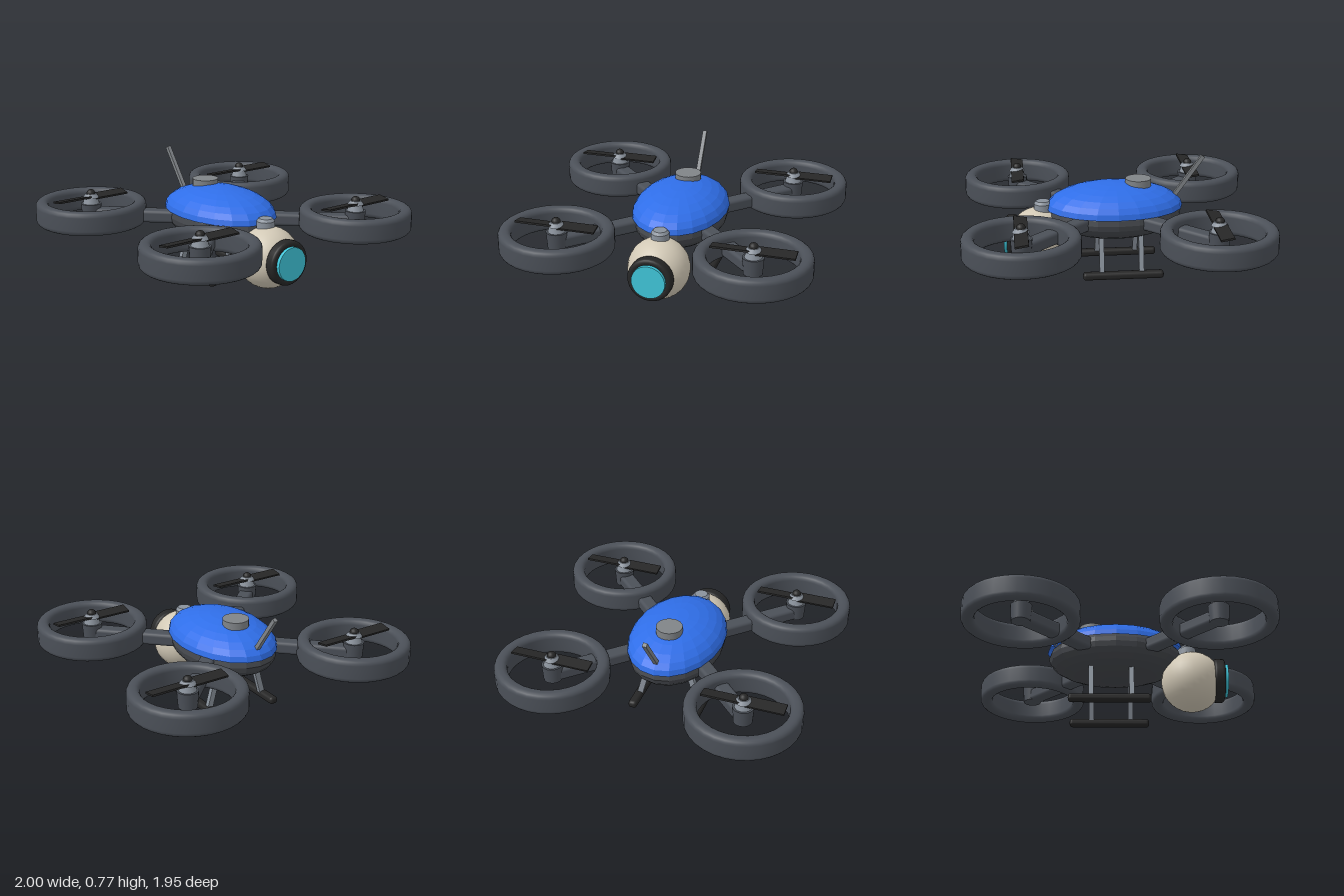
import * as THREE from 'three';
import { RoundedBoxGeometry } from 'three/addons/geometries/RoundedBoxGeometry.js';

const mat = (color, extra = {}) => new THREE.MeshStandardMaterial({ color, ...extra });
const frame = mat(0x4b5058);
const hull = mat(0x44474c, { flatShading: true });
const blue = mat(0x2f6ee8, { flatShading: true, side: THREE.DoubleSide });
const black = mat(0x262626);
const metal = mat(0x8a929c);
const grey = mat(0x808488);
const cream = mat(0xd2c9b6);
const cyan = mat(0x40c8dc);

function add(parent, name, geometry, material, x = 0, y = 0, z = 0) {
  const mesh = new THREE.Mesh(geometry, material);
  mesh.name = name;
  mesh.position.set(x, y, z);
  parent.add(mesh);
  return mesh;
}

// Places a mesh whose long axis is z so that it runs from a to b
function span(parent, name, geometry, material, a, b) {
  const mesh = add(parent, name, geometry, material);
  mesh.position.copy(a).lerp(b, 0.5);
  mesh.lookAt(b);
  return mesh;
}

const V = (x, y, z) => new THREE.Vector3(x, y, z);
const cyl = (r1, r2, h, n = 20) => new THREE.CylinderGeometry(r1, r2, h, n);

// Closed ring with a rounded rectangular section
function ringGeometry(rIn, rOut, height, corner, segments) {
  const profile = [];
  const cr = (rIn + rOut) / 2, w = (rOut - rIn) / 2 - corner, h = height / 2 - corner;
  [[1, -1], [1, 1], [-1, 1], [-1, -1]].forEach(([sx, sy], i) => {
    for (let k = 0; k <= 4; k++) {
      const a = (i - 1 + k / 4) * Math.PI / 2;
      profile.push(new THREE.Vector2(cr + sx * w + corner * Math.cos(a), sy * h + corner * Math.sin(a)));
    }
  });
  profile.push(profile[0].clone());
  return new THREE.LatheGeometry(profile, segments);
}

function makeRotor(sx, sz) {
  const rotor = new THREE.Group();
  rotor.name = 'rotor';
  rotor.position.set(sx * 0.633, 0, sz * 0.607);
  add(rotor, 'guardRing', ringGeometry(0.283, 0.367, 0.157, 0.034, 32), frame, 0, 0.409, 0);
  add(rotor, 'motorPod', cyl(0.068, 0.06, 0.11), frame, 0, 0.405, 0);
  add(rotor, 'motorShaft', cyl(0.04, 0.055, 0.05), metal, 0, 0.485, 0);
  add(rotor, 'hubCap', cyl(0.036, 0.054, 0.025), metal, 0, 0.513, 0);
  add(rotor, 'hubKnob', new THREE.SphereGeometry(0.03, 16, 10), black, 0, 0.525, 0);
  // Two blades with opposite pitch
  for (const s of [-1, 1]) {
    const blade = add(rotor, 'blade', new THREE.BoxGeometry(0.25, 0.012, 0.085), black, s * 0.138, 0.503, 0);
    blade.rotation.x = s * 0.16;
  }
  return rotor;
}

export function createModel() {
  const model = new THREE.Group();
  model.name = 'drone';

  // Body
  const body = new THREE.Group();
  body.name = 'body';
  model.add(body);
  add(body, 'lowerHull', new THREE.SphereGeometry(1, 20, 14), hull, 0, 0.39, -0.022).scale.set(0.302, 0.155, 0.44);
  const shell = new THREE.SphereGeometry(1, 20, 7, 0, Math.PI * 2, 0, Math.PI / 2);
  add(body, 'upperShell', shell, blue, 0, 0.432, -0.02).scale.set(0.31, 0.163, 0.452);
  add(body, 'topButton', cyl(0.086, 0.086, 0.05), grey, 0, 0.595, -0.178);
  span(body, 'antenna', new THREE.BoxGeometry(0.027, 0.027, 0.32), grey, V(0, 0.5, -0.42), V(0, 0.758, -0.604));

  // Arms and rotors
  for (const sx of [-1, 1]) for (const sz of [-1, 1]) {
    span(model, 'arm', new RoundedBoxGeometry(0.1, 0.085, 0.68, 2, 0.022), frame,
      V(sx * 0.15, 0.39, sz * 0.13), V(sx * 0.633, 0.39, sz * 0.607));
    model.add(makeRotor(sx, sz));
  }

  // Camera ball under the nose
  const camera = new THREE.Group();
  camera.name = 'cameraPod';
  model.add(camera);
  add(camera, 'cameraBall', new THREE.SphereGeometry(0.2, 28, 20), cream, 0, 0.233, 0.48);
  add(camera, 'cameraMount', cyl(0.058, 0.06, 0.08), metal, 0, 0.425, 0.452);
  add(camera, 'mountCap', cyl(0.044, 0.058, 0.018), metal, 0, 0.474, 0.452);
  const bezel = add(camera, 'lensBezel', ringGeometry(0.1, 0.145, 0.075, 0.02, 28), black, 0, 0.242, 0.656);
  const lens = add(camera, 'lens', cyl(0.109, 0.109, 0.1, 28), cyan, 0, 0.242, 0.663);
  bezel.rotation.x = lens.rotation.x = Math.PI / 2;

  // Landing gear
  for (const s of [-1, 1]) {
    const gear = new THREE.Group();
    gear.name = 'landingGear';
    model.add(gear);
    add(gear, 'skid', new RoundedBoxGeometry(0.058, 0.05, 0.53, 2, 0.02), black, s * 0.215, 0.025, -0.06);
    for (const [z, w] of [[0.08, 0.033], [-0.18, 0.038]]) {
      span(gear, 'strut', new THREE.BoxGeometry(0.032, w, 0.27), metal, V(s * 0.21, 0.03, z), V(s * 0.14, 0.29, z));
    }
  }
  return model;
}
